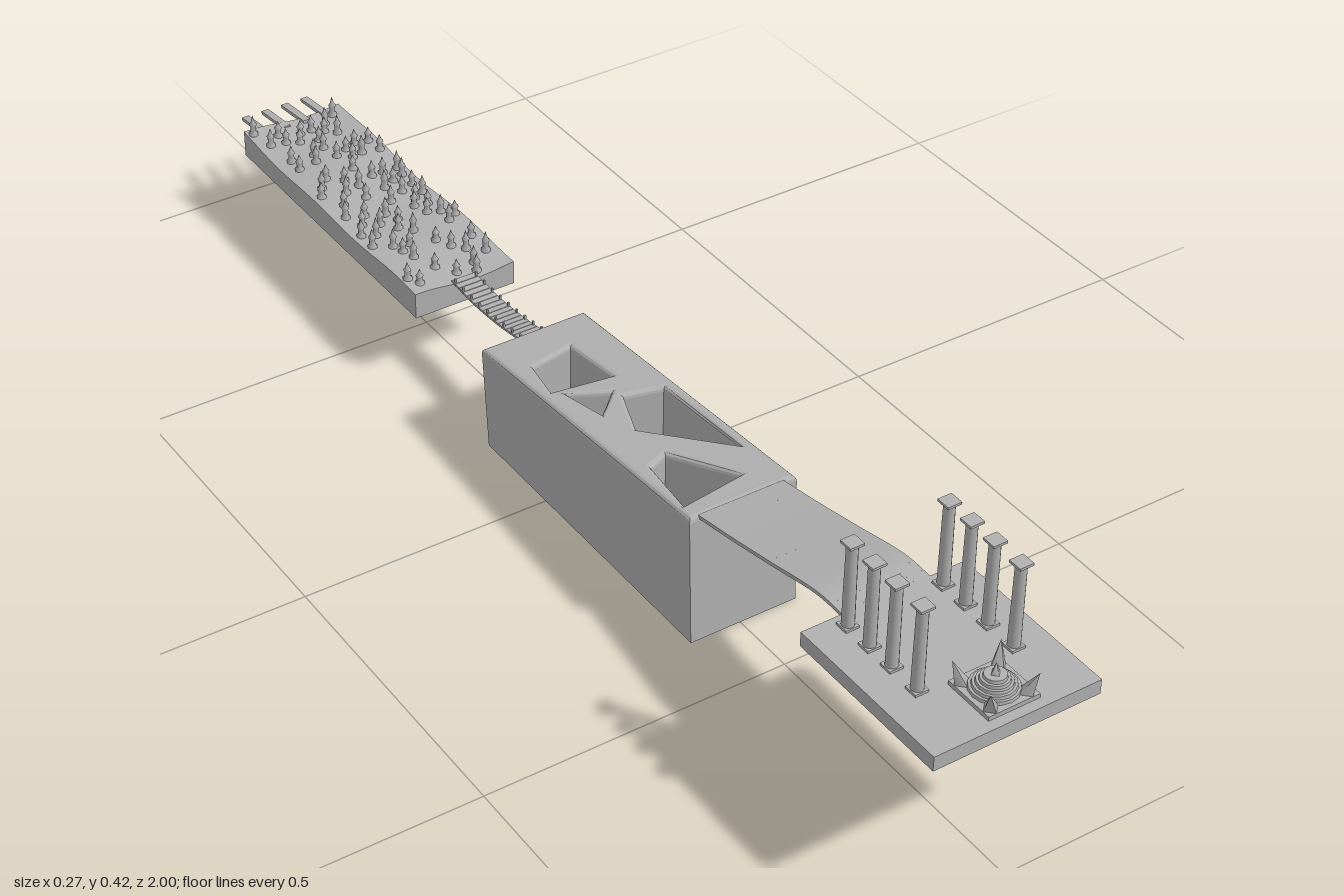
import * as THREE from 'three';

const stone = new THREE.MeshStandardMaterial({ color: 0xb0b0b0, side: THREE.DoubleSide });
stone.name = 'greyStone';

function add(parent, name, geometry, x = 0, y = 0, z = 0) {
  const mesh = new THREE.Mesh(geometry, stone);
  mesh.name = name;
  mesh.position.set(x, y, z);
  parent.add(mesh);
  return mesh;
}

function group(parent, name, x = 0, y = 0, z = 0) {
  const g = new THREE.Group();
  g.name = name;
  g.position.set(x, y, z);
  parent.add(g);
  return g;
}

const box = (w, h, d) => new THREE.BoxGeometry(w, h, d);

function seeded(seed) {
  return () => (seed = (seed * 16807) % 2147483647) / 2147483647;
}

// Hollow block, open below, with shafts running down through it
function blockGeometry() {
  const toPath = (pts) => pts.map(([x, z]) => new THREE.Vector2(x, -z));
  const shape = new THREE.Shape(toPath([[-0.086, 0.39], [0.098, 0.39], [0.098, -0.18], [-0.086, -0.18]]));
  const holes = [
    [[-0.05, -0.09], [0.026, -0.105], [0.032, 0], [-0.064, -0.016]],
    [[-0.05, 0.005], [0.007, 0.037], [-0.037, 0.08]],
    [[0.016, 0.058], [0.076, 0.074], [0.078, 0.267], [-0.018, 0.143]],
    [[-0.055, 0.238], [-0.02, 0.222], [0.037, 0.328], [-0.07, 0.344]],
  ];
  for (const h of holes) shape.holes.push(new THREE.Path(toPath(h)));
  const bevel = 0.008;
  const geo = new THREE.ExtrudeGeometry(shape, {
    depth: 0.2 - bevel, bevelEnabled: true, bevelSize: bevel, bevelOffset: -bevel,
    bevelThickness: bevel, bevelSegments: 3,
  });
  geo.rotateX(-Math.PI / 2);

  // Drop the underside, then slope the top and lean the end walls
  const p = geo.attributes.position;
  const kept = [];
  for (let i = 0; i < p.count; i += 3) {
    if (Math.min(p.getY(i), p.getY(i + 1), p.getY(i + 2)) < -1e-5) continue;
    for (let j = i; j < i + 3; j++) {
      const t = p.getY(j) / 0.2, z = p.getZ(j);
      const top = 0.175 + 0.045 * (z + 0.18) / 0.57;
      const lean = z > 0.37 ? -0.01 * t : z < -0.16 ? 0.015 * (1 - t) : 0;
      kept.push(p.getX(j), t * top, z + lean);
    }
  }
  const out = new THREE.BufferGeometry();
  out.setAttribute('position', new THREE.Float32BufferAttribute(kept, 3));
  out.computeVertexNormals();
  return out;
}

// Row of planks laid along a curve in the y-z plane
function planks(parent, curve, count, width, x, thickness, cover) {
  const length = curve.getLength() / count;
  for (let i = 0; i < count; i++) {
    const u = (i + 0.5) / count;
    const at = curve.getPointAt(u), dir = curve.getTangentAt(u);
    const plank = add(parent, 'plank', box(width, thickness, length * cover), x, at.y, at.z);
    plank.rotation.x = Math.atan2(dir.y, -dir.z);
  }
}

const curveYZ = (pts) => new THREE.CatmullRomCurve3(pts.map(([y, z]) => new THREE.Vector3(0, y, z)));

function addShrine(parent) {
  const shrine = group(parent, 'shrine', 0.004, 0.277, 0.942);
  add(shrine, 'shrineBase', box(0.084, 0.007, 0.084), 0, 0.0035, 0);
  for (let i = 0; i < 5; i++) {
    const r = 0.036 - i * 0.0048;
    add(shrine, 'shrineTier', new THREE.CylinderGeometry(r - 0.001, r, 0.005, 16), 0, 0.009 + i * 0.0047, 0);
  }
  add(shrine, 'shrineSpire', new THREE.ConeGeometry(0.008, 0.02, 4), 0, 0.039, 0);
  // Outward-leaning corner horns
  for (const sx of [-1, 1]) for (const sz of [-1, 1]) {
    const geo = new THREE.ConeGeometry(0.013, 0.036, 4);
    const p = geo.attributes.position;
    for (let i = 0; i < p.count; i++) {
      const shift = 0.011 * (p.getY(i) / 0.036 + 0.5);
      p.setX(i, p.getX(i) + sx * shift);
      p.setZ(i, p.getZ(i) + sz * shift);
    }
    geo.computeVertexNormals();
    add(shrine, 'cornerHorn', geo, sx * 0.029, 0.023, sz * 0.029);
  }
}

function addColumn(parent, x, z) {
  const column = group(parent, 'column', x, 0.277, z);
  add(column, 'columnBase', box(0.022, 0.004, 0.022), 0, 0.002, 0);
  add(column, 'columnShaft', new THREE.CylinderGeometry(0.0085, 0.0095, 0.138, 12), 0, 0.071, 0);
  add(column, 'columnCap', box(0.023, 0.004, 0.023), 0, 0.141, 0);
}

const groundHeight = (x, z) =>
  0.159 + 0.003 * Math.sin(z * 23 + x * 14) + 0.003 * Math.sin(x * 35 - z * 11);

// Slab whose top face undulates
function groundGeometry() {
  const geo = box(0.18, 0.04, 0.565, 10, 1, 30);
  const wavy = new THREE.BoxGeometry(0.18, 0.04, 0.565, 10, 1, 30);
  geo.dispose();
  const p = wavy.attributes.position;
  for (let i = 0; i < p.count; i++) {
    const z = p.getZ(i) - 0.655;
    p.setXYZ(i, p.getX(i), p.getY(i) > 0 ? groundHeight(p.getX(i), z) : 0.118, z);
  }
  wavy.computeVertexNormals();
  return wavy;
}

export function createModel() {
  const model = new THREE.Group();
  model.name = 'bridgedRuins';

  // Raised front terrace with two rows of columns
  const terrace = group(model, 'frontTerrace');
  add(terrace, 'terraceSlab', box(0.272, 0.024, 0.287), -0.001, 0.265, 0.8565);
  for (const z of [0.737, 0.785, 0.833, 0.887]) for (const x of [-0.078, 0.08]) addColumn(terrace, x, z);
  addShrine(terrace);

  // Wide plank ramp down to the block
  const ramp = group(model, 'plankRamp');
  planks(ramp, curveYZ([[0.273, 0.72], [0.273, 0.66], [0.25, 0.55], [0.231, 0.46], [0.215, 0.375]]),
    32, 0.146, 0.004, 0.006, 1.02);

  add(model, 'hollowBlock', blockGeometry());

  // Narrow sagging footbridge with small edge posts
  const footbridge = group(model, 'footbridge');
  const sag = curveYZ([[0.168, -0.17], [0.158, -0.24], [0.154, -0.31], [0.158, -0.38]]);
  planks(footbridge, sag, 18, 0.042, 0.001, 0.004, 0.9);
  for (let i = 0; i <= 8; i++) {
    const at = sag.getPointAt(0.04 + i * 0.115);
    for (const x of [-0.018, 0.02]) add(footbridge, 'edgePost', box(0.003, 0.008, 0.003), x, at.y + 0.005, at.z);
  }

  // Rear field, dotted with small pointed markers
  const field = group(model, 'rearField');
  add(field, 'fieldGround', groundGeometry());
  const markerGeometry = new THREE.LatheGeometry(
    [[0.008, -0.003], [0.008, 0.003], [0.005, 0.006], [0.005, 0.017], [0.0065, 0.019], [0.0035, 0.024], [0, 0.036]]
      .map(([r, y]) => new THREE.Vector2(r, y)), 8);
  const random = seeded(4711);
  const placed = [];
  for (let tries = 0; tries < 3000 && placed.length < 76; tries++) {
    const x = (random() - 0.5) * 0.16;
    const dense = random() < 0.25;
    const z = dense ? -0.66 + (random() - 0.5) * 0.14 : -0.655 + (random() - 0.5) * 0.54;
    if (placed.some(([px, pz]) => Math.hypot(px - x, pz - z) < 0.021)) continue;
    placed.push([x, z]);
    const marker = add(field, 'fieldMarker', markerGeometry, x, groundHeight(x, z), z);
    marker.scale.y = 0.75 + random() * 0.3;
  }

  // Four planks projecting from the far end
  for (let i = 0; i < 4; i++) {
    const beam = add(field, 'endBeam', box(0.013, 0.006, 0.08), -0.055 + i * 0.0375, 0.151, -0.96);
    beam.rotation.x = -0.12;
  }
  return model;
}
